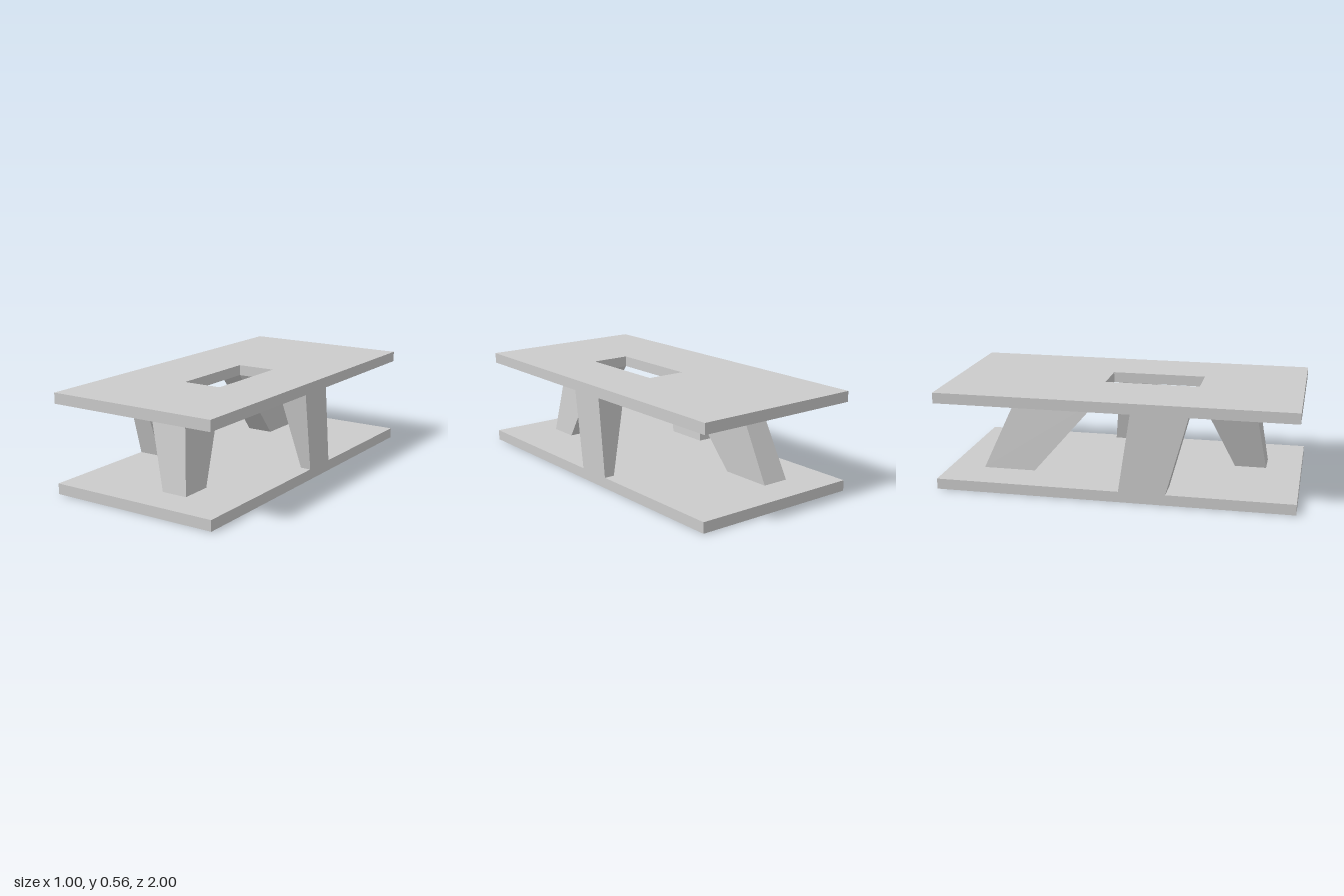
import * as THREE from 'three';

const WIDTH = 1, LENGTH = 2, THICKNESS = 0.06, TOP_Y = 0.5;
const material = new THREE.MeshStandardMaterial({ color: 0xcccccc, flatShading: true });

function addMesh(group, name, geometry) {
  const mesh = new THREE.Mesh(geometry, material);
  mesh.name = name;
  group.add(mesh);
}

// Slanted, tapered pillar between two rectangles [x0, x1, z0, z1]
function pillarGeometry(bottom, top) {
  const geometry = new THREE.BoxGeometry(1, 1, 1);
  const p = geometry.attributes.position;
  for (let i = 0; i < p.count; i++) {
    const upper = p.getY(i) > 0;
    const [x0, x1, z0, z1] = upper ? top : bottom;
    p.setXYZ(i, p.getX(i) < 0 ? x0 : x1, upper ? TOP_Y : THICKNESS, p.getZ(i) < 0 ? z0 : z1);
  }
  geometry.computeVertexNormals();
  return geometry;
}

// Rectangle outline in plan, with z running down the page
function outline(path, x0, x1, z0, z1) {
  path.moveTo(x0, -z1).lineTo(x1, -z1).lineTo(x1, -z0).lineTo(x0, -z0).closePath();
  return path;
}

export function createModel() {
  const group = new THREE.Group();
  group.name = 'pavilion';

  // Floor slab
  addMesh(group, 'floorSlab',
    new THREE.BoxGeometry(WIDTH, THICKNESS, LENGTH).translate(0, THICKNESS / 2, 0));

  // Roof slab with a rectangular opening
  const shape = outline(new THREE.Shape(), -WIDTH / 2, WIDTH / 2, -LENGTH / 2, LENGTH / 2);
  shape.holes.push(outline(new THREE.Path(), -0.08, 0.15, -0.12, 0.42));
  const roof = new THREE.ExtrudeGeometry(shape, { depth: THICKNESS, bevelEnabled: false });
  addMesh(group, 'roofSlab', roof.rotateX(-Math.PI / 2).translate(0, TOP_Y, 0));

  // Four leaning pillars: bottom rectangle, top rectangle
  const pillars = {
    frontPillar: [[0.05, 0.2, 0.62, 0.8], [-0.08, 0.15, 0.42, 0.73]],
    backPillar: [[-0.26, -0.1, -0.8, -0.5], [-0.22, -0.08, -0.6, -0.12]],
    leftPillar: [[0.44, 0.5, -0.17, 0.04], [0.33, 0.5, -0.12, 0.105]],
    rightPillar: [[-0.5, -0.36, 0.04, 0.3], [-0.5, -0.4, 0.105, 0.42]],
  };
  for (const [name, [bottom, top]] of Object.entries(pillars)) {
    addMesh(group, name, pillarGeometry(bottom, top));
  }
  return group;
}
